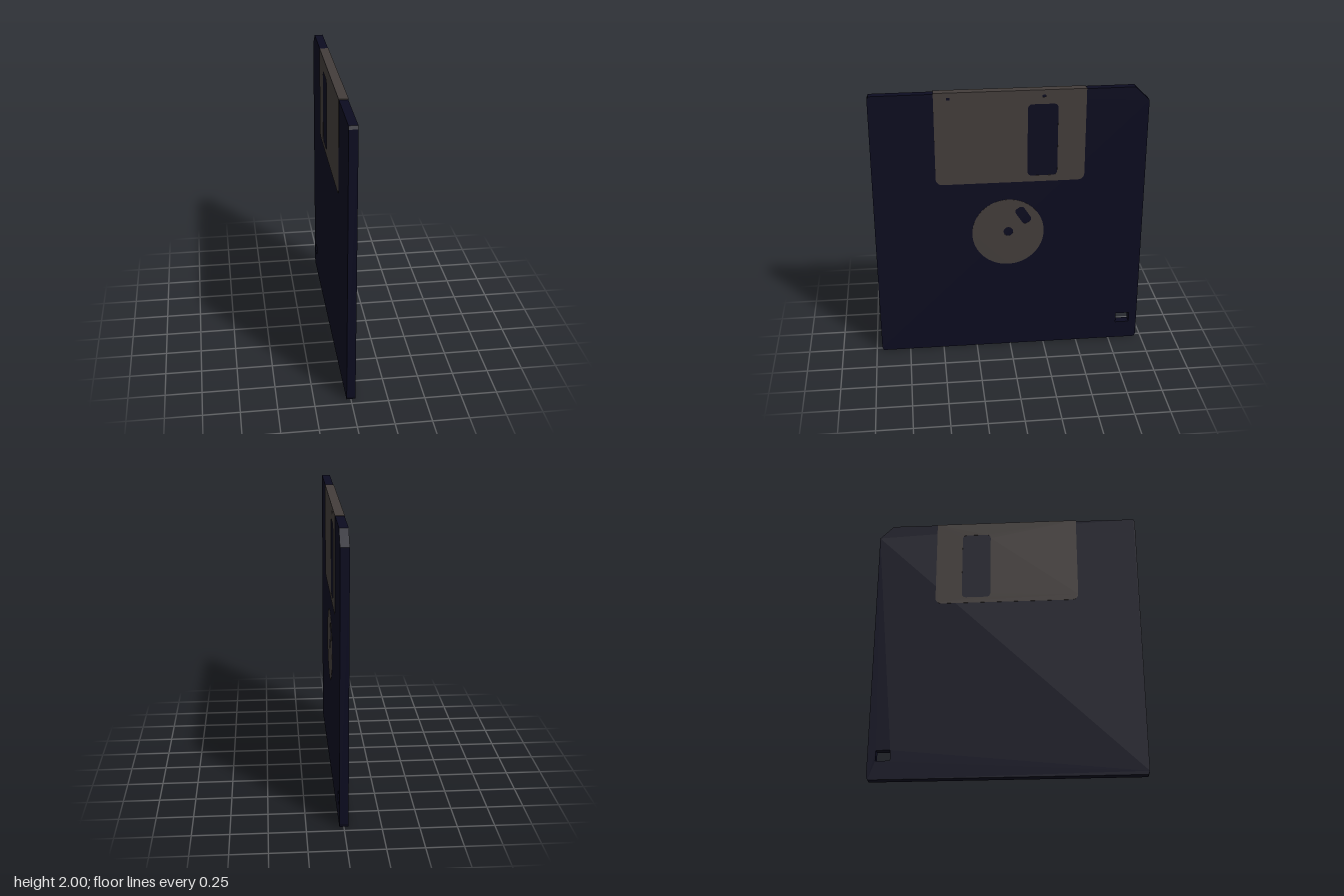
import * as THREE from 'three';

const shell = new THREE.MeshStandardMaterial({ color: 0x0c0c20 });
shell.name = 'navy plastic';
const metal = new THREE.MeshStandardMaterial({ color: 0x433d3b });
metal.name = 'dull metal';

const HALF = 0.03;   // half thickness of the shell
const SKIN = 0.002;  // how far the metal stands proud

// Rounded rectangle outline, centred on (cx, cy) and turned by angle
function roundedRect(Type, cx, cy, w, h, r, angle = 0, roundTop = true) {
  const pts = [];
  const corners = [[1, 1, 0], [-1, 1, 1], [-1, -1, 2], [1, -1, 3]];
  for (const [sx, sy, q] of corners) {
    const rad = sy > 0 && !roundTop ? 0 : r;
    const steps = rad > 0 ? 5 : 0;
    for (let i = 0; i <= steps; i++) {
      const a = (q + (steps ? i / steps : 0)) * Math.PI / 2;
      const x = sx * (w / 2 - rad) + rad * Math.cos(a);
      const y = sy * (h / 2 - rad) + rad * Math.sin(a);
      pts.push(new THREE.Vector2(x, y).rotateAround(new THREE.Vector2(), angle)
        .add(new THREE.Vector2(cx, cy)));
    }
  }
  return new Type(pts);
}

// Extrude an outline drawn on the side face from x0 to x1 (outline right = -z)
function slab(name, shape, x0, x1, material) {
  const geo = new THREE.ExtrudeGeometry(shape, { depth: x1 - x0, bevelEnabled: false, curveSegments: 32 });
  geo.translate(0, 0, x0);
  geo.rotateY(Math.PI / 2);
  const mesh = new THREE.Mesh(geo, material);
  mesh.name = name;
  return mesh;
}

function shutterShape(withPinholes) {
  const s = roundedRect(THREE.Shape, 0.002, 1.665, 1.044, 0.67, 0.045, 0, false);
  s.holes.push(roundedRect(THREE.Path, 0.226, 1.637, 0.21, 0.525, 0.03));
  if (withPinholes) {
    for (const u of [-0.42, 0.232]) s.holes.push(roundedRect(THREE.Path, u, 1.956, 0.026, 0.018, 0.005));
  }
  return s;
}

export function createModel() {
  const model = new THREE.Group();
  model.name = 'floppyDisk';

  // Shell with one clipped corner and a square hole through it
  const outline = new THREE.Shape([
    [-0.95, 0], [0.95, 0], [0.96, 0.025], [0.96, 1.9], [0.86, 1.998],
    [-0.95, 1.992], [-0.96, 1.97], [-0.96, 0.025],
  ].map(([u, v]) => new THREE.Vector2(u, v)));
  outline.holes.push(roundedRect(THREE.Path, 0.852, 0.172, 0.1, 0.076, 0));
  model.add(slab('shell', outline, -HALF, HALF, shell));

  // Sliding metal shutter, folded over the top edge
  const shutter = new THREE.Group();
  shutter.name = 'shutter';
  shutter.add(slab('shutterRightPlate', shutterShape(true), HALF, HALF + SKIN, metal));
  shutter.add(slab('shutterLeftPlate', shutterShape(false), -HALF - SKIN, -HALF, metal));
  const fold = new THREE.Mesh(new THREE.BoxGeometry(2 * HALF, 0.01, 1.044), metal);
  fold.name = 'shutterFold';
  fold.position.set(0, 1.995, -0.002);
  shutter.add(fold);
  model.add(shutter);

  // Drive hub with a centre hole and a slanted slot, on one side only
  const hub = new THREE.Shape();
  hub.absarc(-0.015, 0.94, 0.257, 0, Math.PI * 2);
  const centre = new THREE.Path();
  centre.absarc(-0.013, 0.946, 0.034, 0, Math.PI * 2);
  hub.holes.push(centre, roundedRect(THREE.Path, 0.094, 1.07, 0.072, 0.135, 0.025, 0.58));
  model.add(slab('hub', hub, HALF, HALF + SKIN, metal));

  return model;
}
